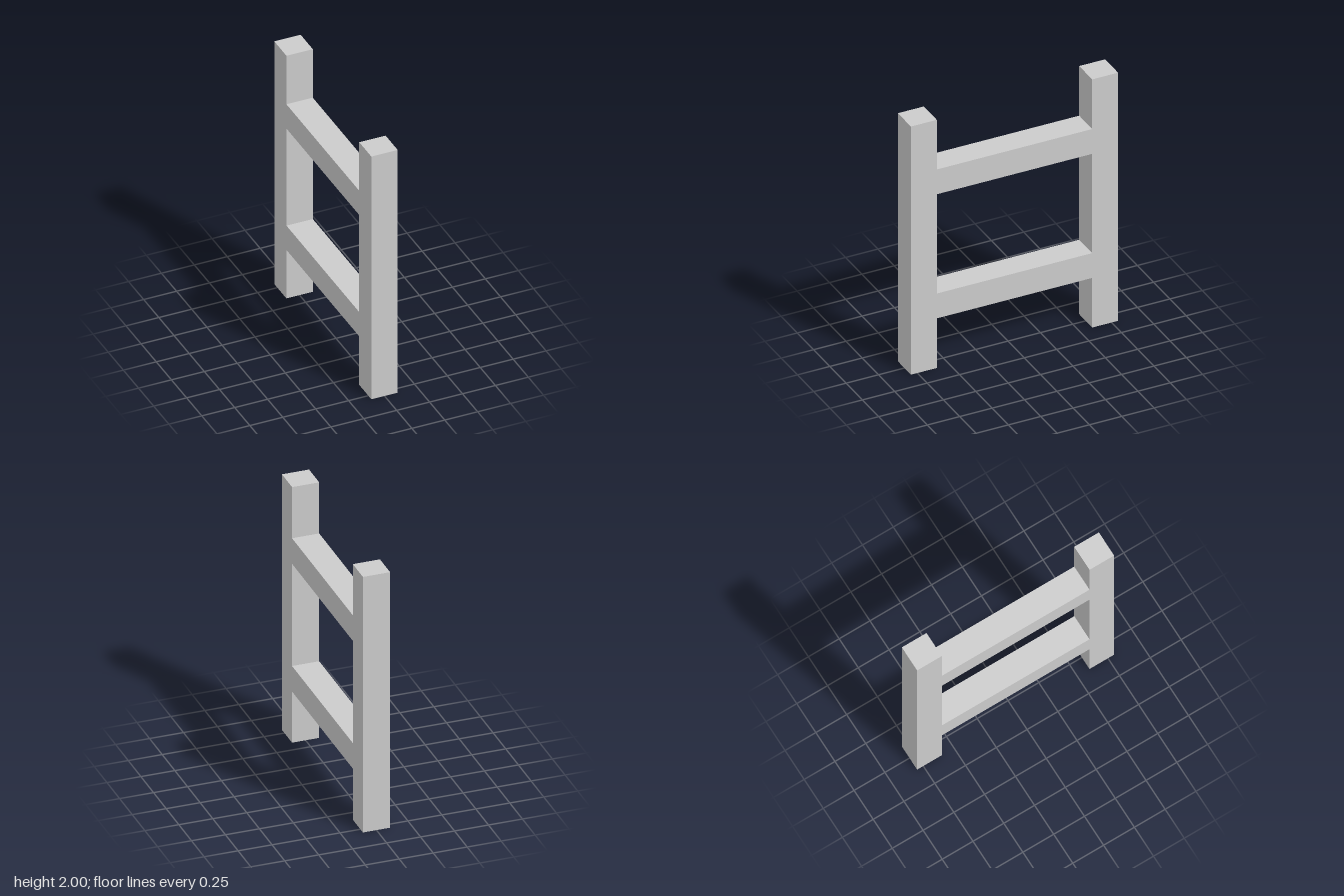
import * as THREE from 'three';

const THICKNESS = 0.2;
const HEIGHT = 2;
const POST_Z = 0.7; // centre line of each post
const RAIL_LENGTH = 2 * POST_Z - THICKNESS;

export function createModel() {
  const model = new THREE.Group();
  model.name = 'fenceFrame';
  const material = new THREE.MeshStandardMaterial({ color: 0xcccccc, flatShading: true });

  const addPart = (name, geometry, y, z) => {
    const mesh = new THREE.Mesh(geometry, material);
    mesh.name = name;
    mesh.position.set(0, y, z);
    model.add(mesh);
  };

  // Two upright posts
  const post = new THREE.BoxGeometry(THICKNESS, HEIGHT, THICKNESS);
  addPart('frontPost', post, HEIGHT / 2, POST_Z);
  addPart('backPost', post, HEIGHT / 2, -POST_Z);

  // Two rails fitted flush between the posts
  const rail = new THREE.BoxGeometry(THICKNESS, THICKNESS, RAIL_LENGTH);
  addPart('lowerRail', rail, 0.5, 0);
  addPart('upperRail', rail, 1.5, 0);

  return model;
}
